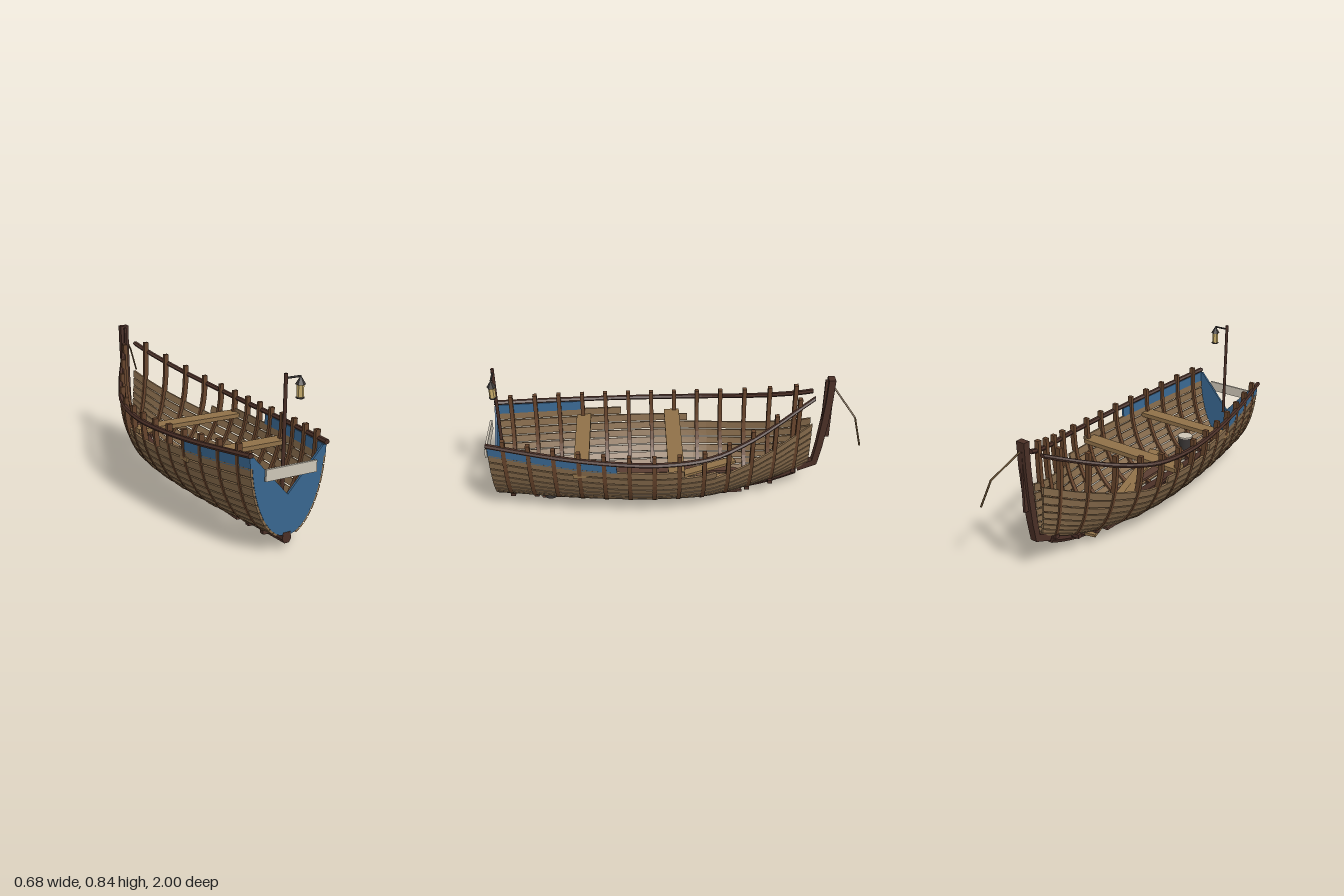
import * as THREE from 'three';

const V = (x, y, z) => new THREE.Vector3(x, y, z);
const mat = (name, color) => {
  const m = new THREE.MeshStandardMaterial({ color });
  m.name = name;
  return m;
};

// Smooth curve through [z, value] pairs, sorted by descending z
function curveOf(pts) {
  const slope = i => {
    const a = pts[Math.max(0, i - 1)], b = pts[Math.min(pts.length - 1, i + 1)];
    return (b[1] - a[1]) / (b[0] - a[0]);
  };
  return z => {
    let i = 0;
    while (i < pts.length - 2 && z < pts[i + 1][0]) i++;
    const [z0, v0] = pts[i], [z1, v1] = pts[i + 1], h = z1 - z0, s = (z - z0) / h;
    const s2 = s * s, s3 = s2 * s;
    return v0 * (2 * s3 - 3 * s2 + 1) + h * slope(i) * (s3 - 2 * s2 + s)
      + v1 * (3 * s2 - 2 * s3) + h * slope(i + 1) * (s3 - s2);
  };
}

// Hull lines: half breadth, keel height and sheer height along z
const breadth = curveOf([[0.97, 0.2], [0.6, 0.272], [0.3, 0.31], [0.05, 0.32], [-0.2, 0.292], [-0.4, 0.215], [-0.55, 0.14], [-0.68, 0.07], [-0.76, 0.032]]);
const keelY = curveOf([[0.97, 0.07], [0.6, 0.045], [0.3, 0.034], [0, 0.03], [-0.2, 0.032], [-0.45, 0.068], [-0.6, 0.11], [-0.76, 0.175]]);
const sheerY = curveOf([[0.97, 0.5], [0.6, 0.463], [0.3, 0.442], [0.05, 0.435], [-0.2, 0.45], [-0.4, 0.495], [-0.55, 0.545], [-0.68, 0.597], [-0.76, 0.632]]);

// Point on the hull; t runs -1..1 from rail to rail, off moves it outward
function hullPoint(z, t, off = 0) {
  const a = t * Math.PI / 2, B = breadth(z), k = keelY(z), H = sheerY(z) - k;
  const n = new THREE.Vector2(Math.sin(a) / B, -Math.cos(a) / H).normalize();
  return V(B * Math.sin(a) + n.x * off, k + H * (1 - Math.cos(a)) + n.y * off, z);
}

// Closed solid through equal-sized rings of corners, facets facing out
function loft(rings) {
  const n = rings[0].length, tris = [];
  for (let i = 0; i < rings.length - 1; i++)
    for (let j = 0; j < n; j++) {
      const k = (j + 1) % n, a = rings[i], b = rings[i + 1];
      tris.push([a[j], a[k], b[k]], [a[j], b[k], b[j]]);
    }
  const s = rings[0], e = rings[rings.length - 1];
  for (let j = 1; j < n - 1; j++) tris.push([s[0], s[j + 1], s[j]], [e[0], e[j], e[j + 1]]);
  let vol = 0;
  for (const [a, b, c] of tris) vol += a.dot(b.clone().cross(c));
  const pts = tris.flatMap(([a, b, c]) => (vol < 0 ? [a, c, b] : [a, b, c]));
  const g = new THREE.BufferGeometry().setFromPoints(pts);
  g.computeVertexNormals();
  return g;
}

const span = (a, b, n) => Array.from({ length: n + 1 }, (_, i) => a + (b - a) * i / n);

export function createModel() {
  const M = {
    plank: mat('weathered planking', 0x84694a),
    bench: mat('bench wood', 0x8f7048),
    rib: mat('rib brown', 0x65432b),
    dark: mat('dark keel wood', 0x4a2f26),
    floor: mat('floorboard brown', 0x5a3d31),
    blue: mat('faded blue paint', 0x38668f),
    pale: mat('pale board', 0xcdc5b6),
    iron: mat('dark iron', 0x3a3635),
    glass: mat('amber glass', 0xc9ae6c),
    rope: mat('rope', 0x6e5637)
  };
  const boat = new THREE.Group();
  boat.name = 'boat';
  const add = (name, geo, m, parent = boat) => {
    const mesh = new THREE.Mesh(geo, m);
    mesh.name = name;
    parent.add(mesh);
    return mesh;
  };
  const box = (name, w, h, d, x, y, z, m, ry = 0) => {
    const b = add(name, new THREE.BoxGeometry(w, h, d), m);
    b.position.set(x, y, z);
    b.rotation.y = ry;
    return b;
  };
  // Round bar between two points
  const bar = (name, a, b, r, m, sides = 6) => {
    const c = add(name, new THREE.CylinderGeometry(r, r, a.distanceTo(b), sides), m);
    c.position.copy(a).lerp(b, 0.5);
    c.quaternion.setFromUnitVectors(V(0, 1, 0), b.clone().sub(a).normalize());
    return c;
  };
  // Flat board lying between two points
  const board = (name, a, b, w, h, m) => {
    const o = add(name, new THREE.BoxGeometry(w, h, a.distanceTo(b)), m);
    o.position.copy(a).lerp(b, 0.5);
    o.lookAt(b);
    return o;
  };

  // Planking: eight full strakes, broken upper strakes and a painted top strake
  const strake = (name, side, t0, t1, z0, z1, m) => add(name, loft(span(z0, z1, 22).map(z => [
    hullPoint(z, side * t0, 0.006), hullPoint(z, side * t1, 0.006),
    hullPoint(z, side * t1, -0.006), hullPoint(z, side * t0, -0.006)])), m);
  const step = 0.0755, first = 0.16, gap = 0.006;
  for (const side of [1, -1]) {
    const upper = side > 0 ? [-0.22, -0.05] : [-0.1, 0.28];
    for (let i = 0; i < 10; i++) {
      const t = first + i * step;
      strake('strake', side, t + gap, t + step - gap, 0.97, i < 8 ? -0.76 : upper[i - 8], M.plank);
    }
    strake('paintedStrake', side, 0.897, 0.985, 0.97, side > 0 ? 0.3 : 0.5, M.blue);

    // Rail
    add('rail', loft(span(0.975, -0.76, 30).map(z => span(0, 5, 5).map(k => {
      const a = k * Math.PI / 3;
      return V(side * (breadth(z) + 0.006) + 0.015 * Math.cos(a), sheerY(z) + 0.013 * Math.sin(a), z);
    }))), M.dark);
  }

  // Ribs, standing a little above the rail
  for (let i = 0; i < 13; i++) {
    const z = 0.885 - i * 0.13, out = 0.009, inn = -0.017, w = 0.011;
    const ring = (t, lift = 0) => [[out, w], [inn, w], [inn, -w], [out, -w]].map(([o, dz]) => {
      const p = hullPoint(z, t, o);
      return V(p.x, p.y + lift, z + dz);
    });
    const lift = 0.045 + 0.012 * Math.max(0, i - 8) / 4;
    add('rib', loft([ring(-1, lift), ...span(-1, 1, 24).map(t => ring(t)), ring(1, lift)]), M.rib);
    // Floor timber across the keel
    box('floorTimber', Math.min(0.16, breadth(z)), 0.022, 0.026, 0, keelY(z) + 0.012, z, M.dark);
  }

  // Keel
  const section = [[-0.012, -0.032], [0.012, -0.032], [0.024, -0.012], [0.02, 0.022], [-0.02, 0.022], [-0.024, -0.012]];
  add('keel', loft(span(0.975, -0.695, 26).map(z => section.map(([x, y]) => V(x, keelY(z) + y, z)))), M.dark);

  // Stem: foot and upright
  const stemRing = (y, z, w, ny, nz) => [[-w, 1], [w, 1], [w, -1], [-w, -1]].map(([x, s]) => V(x, y + ny * s, z + nz * s));
  add('stem', loft([
    stemRing(0.155, -0.7, 0.018, 0.018, 0.006), stemRing(0.192, -0.795, 0.019, 0.014, 0.014),
    stemRing(0.3, -0.813, 0.02, 0.004, 0.017), stemRing(0.45, -0.83, 0.022, 0.002, 0.018),
    stemRing(0.6, -0.842, 0.024, 0, 0.018), stemRing(0.73, -0.846, 0.025, 0, 0.018)]), M.dark);
  box('stemCheek', 0.014, 0.36, 0.05, 0, 0.54, -0.838, M.dark);

  // Transom with a V notch
  const shape = new THREE.Shape();
  shape.moveTo(0, 0.28);
  shape.lineTo(0.188, 0.49);
  for (const t of span(0.98, -0.98, 28)) {
    const p = hullPoint(0.97, t, -0.005);
    shape.lineTo(p.x, p.y);
  }
  shape.lineTo(-0.188, 0.49);
  shape.closePath();
  add('transom', new THREE.ExtrudeGeometry(shape, { depth: 0.012, bevelEnabled: false }), M.blue).position.z = 0.96;
  box('sternBoard', 0.275, 0.057, 0.012, 0, 0.403, 0.992, M.pale);

  // Benches, floorboards and loose planks
  box('bench', 0.615, 0.024, 0.085, 0, 0.35, -0.01, M.bench);
  box('bench', 0.575, 0.024, 0.08, 0, 0.35, 0.49, M.bench);
  for (const x of [-0.09, 0.09]) box('floorboard', 0.055, 0.014, 1.1, x, 0.085, 0.17, M.floor);
  box('keelson', 0.044, 0.02, 1.2, 0, 0.075, 0.3, M.dark);
  board('loosePlank', V(-0.055, 0.06, -0.45), V(0.165, 0.15, 0.43), 0.062, 0.016, M.bench);
  board('loosePlank', V(-0.11, 0.13, -0.36), V(0.035, 0.115, 0.06), 0.05, 0.016, M.bench);

  // Bucket and mallet
  add('bucket', new THREE.CylinderGeometry(0.042, 0.036, 0.08, 14), M.iron).position.set(0.11, 0.132, 0.67);
  add('bucketLid', new THREE.CylinderGeometry(0.045, 0.045, 0.008, 14), M.pale).position.set(0.11, 0.176, 0.67);
  box('malletHead', 0.06, 0.04, 0.04, -0.1, 0.112, 0.565, M.rib);
  bar('malletHandle', V(-0.1, 0.112, 0.56), V(-0.04, 0.1, 0.66), 0.006, M.bench);

  // Lantern on its post
  bar('lanternPost', V(0, 0.28, 0.925), V(0, 0.84, 0.925), 0.009, M.dark, 8);
  bar('lanternArm', V(0, 0.818, 0.925), V(0.08, 0.818, 0.925), 0.005, M.iron);
  const lantern = new THREE.Group();
  lantern.name = 'lantern';
  lantern.position.set(0.08, 0, 0.925);
  boat.add(lantern);
  const stack = (name, r0, r1, y0, y1, m) => {
    const g = new THREE.CylinderGeometry(r1, r0, y1 - y0, 6).toNonIndexed();
    g.computeVertexNormals();
    add(name, g, m, lantern).position.y = (y0 + y1) / 2;
  };
  stack('lanternBase', 0.02, 0.02, 0.714, 0.721, M.iron);
  stack('lanternGlass', 0.017, 0.017, 0.721, 0.782, M.glass);
  stack('lanternRoof', 0.025, 0.004, 0.78, 0.815, M.iron);

  // Mooring rope hanging off the stem
  const line = [V(0.005, 0.68, -0.86), V(0.1, 0.545, -0.968), V(0.15, 0.4, -0.997)];
  for (let i = 0; i < 2; i++) bar('mooringRope', line[i], line[i + 1], 0.005, M.rope);

  return boat;
}
